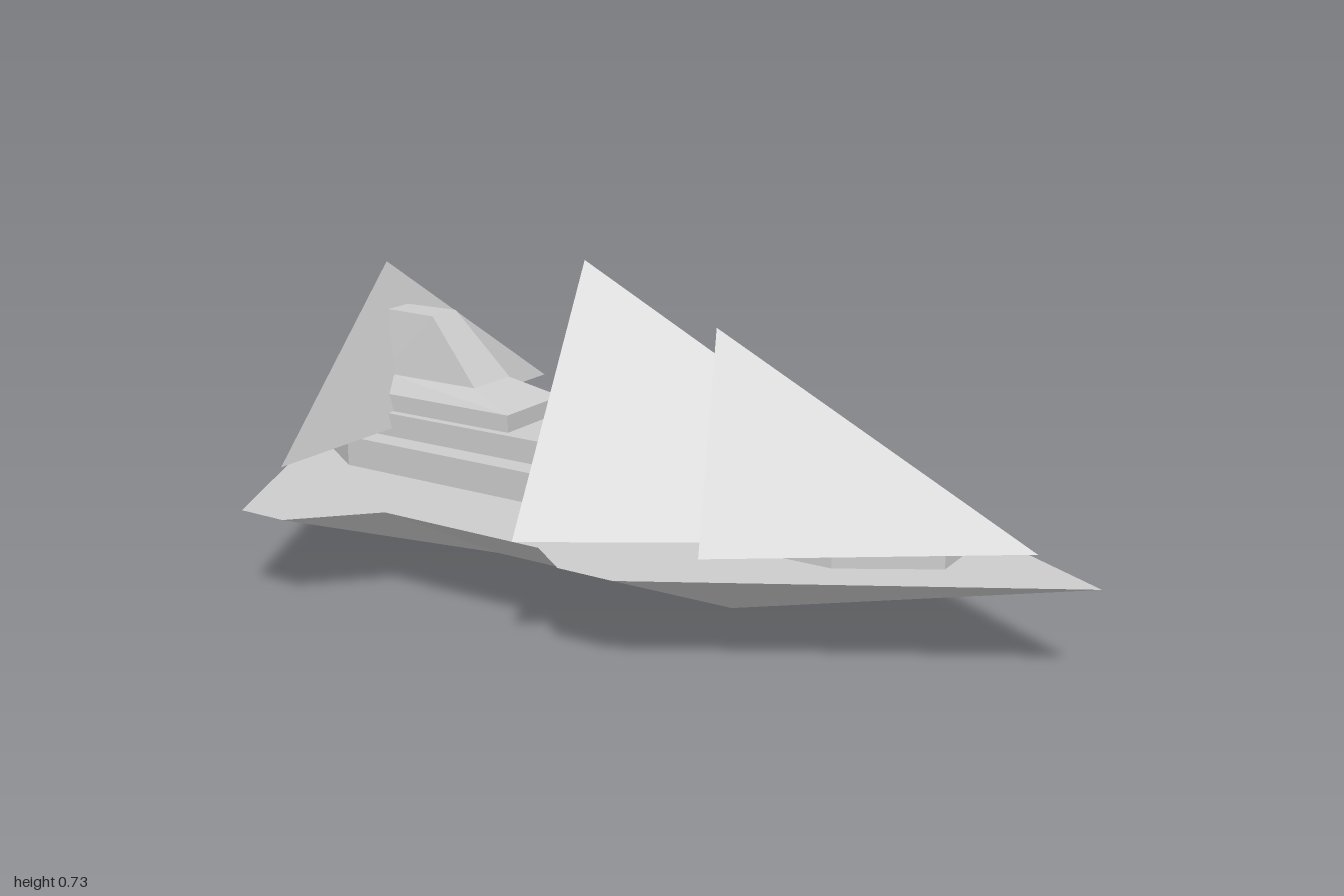
import * as THREE from 'three';
import { ConvexGeometry } from 'three/addons/geometries/ConvexGeometry.js';

const material = new THREE.MeshStandardMaterial({ color: 0xcccccc, flatShading: true });
const thin = new THREE.MeshStandardMaterial({ color: 0xcccccc, flatShading: true, side: THREE.DoubleSide });

const DECK = 0.215;
// Half outline of the hull from stern to prow, as [x, z]
const OUTLINE = [
  [-1, 0], [-0.72, 0.545], [-0.6, 0.545], [-0.45, 0.39],
  [-0.04, 0.39], [0.06, 0.462], [0.19, 0.462], [1, 0],
];

// Faceted solid around a few corner points; z is mirrored to both sides
function solid(name, corners) {
  const points = [];
  for (const [x, y, z] of corners) {
    points.push(new THREE.Vector3(x, y, z));
    if (z) points.push(new THREE.Vector3(x, y, -z));
  }
  const mesh = new THREE.Mesh(new ConvexGeometry(points), material);
  mesh.name = name;
  return mesh;
}

// Straight-walled layer from a half plan [x, z]
function layer(name, plan, y0, y1) {
  return solid(name, plan.flatMap(([x, z]) => [[x, y0, z], [x, y1, z]]));
}

// Closed pyramid sail: raised apex, two wide corners, one tip on the centreline
function sail(name, apex, corner, tipX) {
  return solid(name, [[apex[0], apex[1], 0], corner, [tipX, corner[1], 0]]);
}

// V-shaped hull: each outline segment slopes down to the keel line
function hullSides() {
  const positions = [];
  const keel = (x) => [THREE.MathUtils.clamp(x, -0.72, 0.19), 0, 0];
  for (const side of [1, -1]) {
    for (let i = 0; i < OUTLINE.length - 1; i++) {
      const [ax, az] = OUTLINE[i];
      const [bx, bz] = OUTLINE[i + 1];
      const a = [ax, DECK, az * side], b = [bx, DECK, bz * side];
      const ka = keel(ax), kb = keel(bx);
      const add = (p, q, r) => positions.push(...p, ...(side > 0 ? q : r), ...(side > 0 ? r : q));
      if (ka[0] !== kb[0]) add(a, ka, kb);
      add(a, kb, b);
    }
  }
  const geometry = new THREE.BufferGeometry();
  geometry.setAttribute('position', new THREE.Float32BufferAttribute(positions, 3));
  geometry.computeVertexNormals();
  const mesh = new THREE.Mesh(geometry, thin);
  mesh.name = 'hullSides';
  return mesh;
}

// Deck plate: notched on the left edge, straight on the other
function deck() {
  const far = [[0.19, -0.465], [-0.6, -0.545], [-0.72, -0.55]];
  const shape = new THREE.Shape([...OUTLINE, ...far].map(([x, z]) => new THREE.Vector2(x, -z)));
  const mesh = new THREE.Mesh(new THREE.ShapeGeometry(shape).rotateX(-Math.PI / 2), thin);
  mesh.position.y = DECK;
  mesh.name = 'deck';
  return mesh;
}

export function createModel() {
  const group = new THREE.Group();
  group.name = 'ship';
  group.add(hullSides(), deck());

  // Stepped superstructure
  group.add(
    layer('lowerPlatform', [[-0.89, 0.085], [-0.75, 0.175], [0.515, 0.175], [0.705, 0.06]], DECK, 0.285),
    layer('upperPlatform', [[-0.75, 0.12], [0.3, 0.12]], 0.285, 0.34),
  );

  // Aft house with a sloping tower
  group.add(
    layer('aftHouse', [[-0.7, 0.1], [-0.335, 0.1]], 0.34, 0.38),
    solid('aftHouseRoof', [
      [-0.7, 0.38, 0.1], [-0.335, 0.38, 0.1], [-0.7, 0.418, 0.07], [-0.46, 0.418, 0.065],
    ]),
    solid('aftTower', [
      [-0.73, 0.418, 0.065], [-0.455, 0.418, 0.065], [-0.73, 0.565, 0.035], [-0.59, 0.565, 0.042],
    ]),
  );

  // Forward house tucked behind the main sail
  group.add(
    layer('forwardHouse', [[-0.225, 0.1], [0.05, 0.1]], 0.34, 0.393),
    solid('forwardHouseRoof', [
      [-0.225, 0.393, 0.1], [0.05, 0.393, 0.1], [-0.1, 0.435, 0.065], [0.05, 0.435, 0.065],
    ]),
    solid('forwardTower', [
      [-0.175, 0.405, 0.045], [0.02, 0.405, 0.045], [-0.165, 0.525, 0.038],
      [-0.12, 0.555, 0.02], [0, 0.525, 0.038],
    ]),
  );

  // Sails
  group.add(
    sail('mainSail', [-0.19, 0.73], [-0.03, 0.26, 0.49], 0.75),
    sail('bowSail', [0.145, 0.62], [0.33, 0.26, 0.375], 0.87),
    sail('tailSail', [-0.76, 0.67], [-0.66, 0.305, 0.48], -0.91),
  );
  return group;
}
